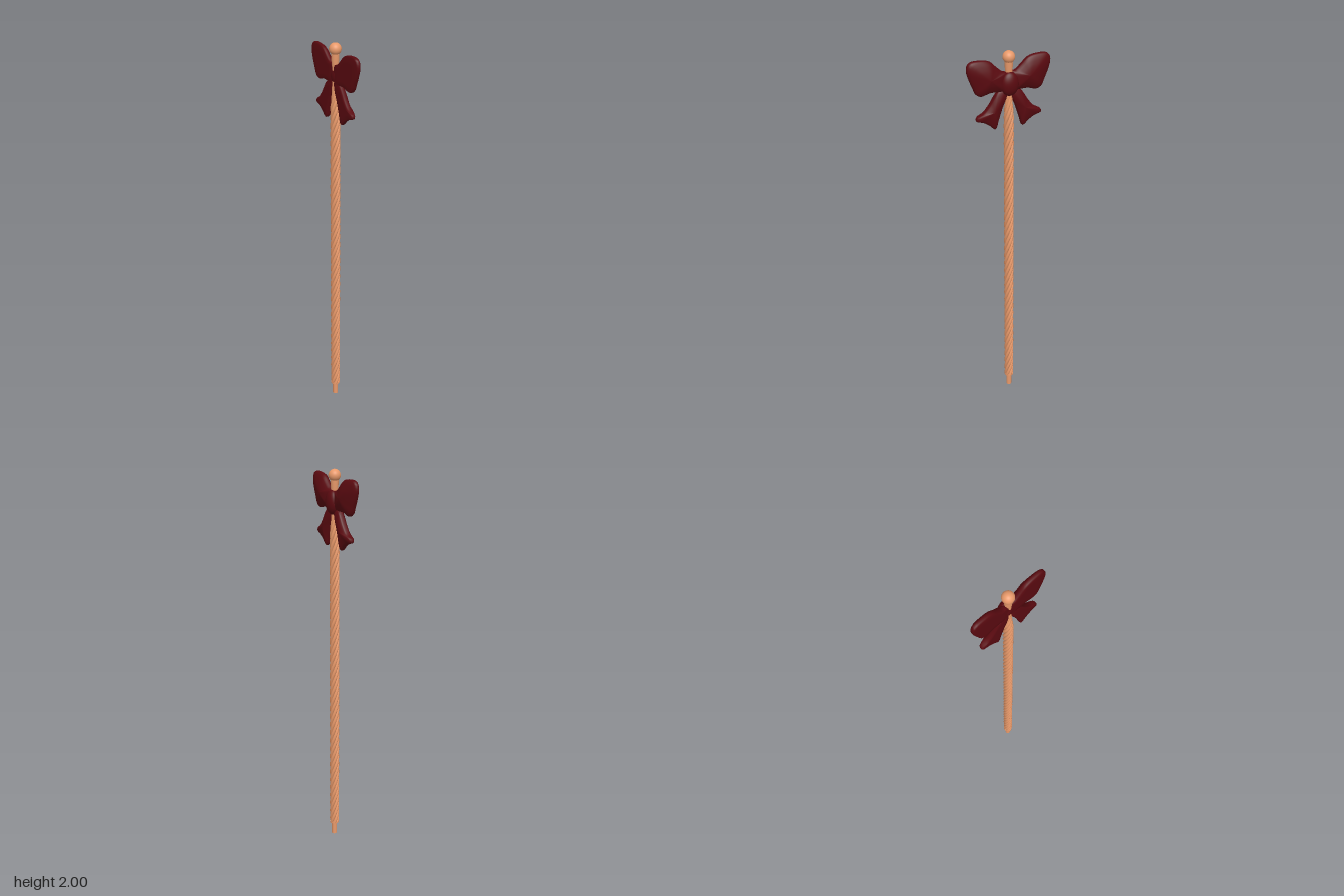
import * as THREE from 'three';

const AXIS_X = -0.008; // the stick stands slightly off the bow's centre plane

// Rope strand: a helix that narrows under the bow
class Strand extends THREE.Curve {
  constructor(phase) {
    super();
    this.phase = phase;
  }
  getPoint(t, target = new THREE.Vector3()) {
    const y = 0.068 + t * 1.742;
    const a = this.phase + (y / 0.28) * Math.PI * 2;
    const r = 0.0165 - 0.009 * THREE.MathUtils.smoothstep(y, 1.65, 1.8);
    return target.set(Math.sin(a) * r, y, Math.cos(a) * r);
  }
}

// Cushion with a flat back: outline of [z, y] points, counter-clockwise from +x
function cushion(points, centre, peak, mirrored) {
  let pts = points.map(([z, y]) => new THREE.Vector3(mirrored ? -z : z, y, 0));
  if (mirrored) pts.reverse();
  const n = 56;
  const outline = new THREE.CatmullRomCurve3(pts, true, 'centripetal').getSpacedPoints(n).slice(0, n);
  const cz = mirrored ? -centre[0] : centre[0], cy = centre[1];
  const rings = [[0, -0.022], [0.6, -0.022], [0.95, -0.022], [1, -0.016], [1, -0.004], [0.95, 0.002]];
  for (const s of [0.85, 0.7, 0.55, 0.4, 0.2, 0]) {
    rings.push([s, 0.002 + (peak - 0.002) * Math.cos(s * Math.PI / 2)]);
  }
  const pos = [], idx = [];
  rings.forEach(([s, x], k) => {
    for (let i = 0; i < n; i++) {
      pos.push(x, cy + (outline[i].y - cy) * s, cz + (outline[i].x - cz) * s);
      if (k === rings.length - 1) continue;
      const a = k * n + i, b = k * n + (i + 1) % n;
      idx.push(a, b, b + n, a, b + n, a + n);
    }
  });
  const g = new THREE.BufferGeometry();
  g.setAttribute('position', new THREE.Float32BufferAttribute(pos, 3));
  g.setIndex(idx);
  g.computeVertexNormals();
  return g;
}

export function createModel() {
  const model = new THREE.Group();
  const wood = new THREE.MeshStandardMaterial({ color: 0xe8996a });
  const ribbon = new THREE.MeshStandardMaterial({ color: 0x5a0a10 });
  const add = (parent, name, geometry, material) => {
    const mesh = new THREE.Mesh(geometry, material);
    mesh.name = name;
    parent.add(mesh);
    return mesh;
  };

  // Stick: core rod, flared neck and ball
  const stick = new THREE.Group();
  stick.name = 'stick';
  stick.position.x = AXIS_X;
  model.add(stick);
  add(stick, 'rod', new THREE.CylinderGeometry(0.014, 0.014, 1.88, 24), wood).position.y = 0.94;
  const neck = [[0.014, 1.86], [0.016, 1.89], [0.019, 1.92], [0.02, 1.955]].map(p => new THREE.Vector2(...p));
  add(stick, 'neck', new THREE.LatheGeometry(neck, 24), wood);
  add(stick, 'ball', new THREE.SphereGeometry(0.03, 32, 20), wood).position.y = 1.97;

  // Twisted rope around the rod
  const rope = new THREE.Group();
  rope.name = 'rope';
  stick.add(rope);
  for (let i = 0; i < 6; i++) {
    add(rope, 'strand', new THREE.TubeGeometry(new Strand(i * Math.PI / 3), 220, 0.0085, 10), wood);
  }
  add(rope, 'ropeEnd', new THREE.CylinderGeometry(0.023, 0.023, 0.008, 24), wood).position.y = 0.07;

  // Bow: a loop and a tail on each side of the knot
  const loop = [
    [0.01, 1.895], [0.03, 1.9], [0.06, 1.925], [0.095, 1.957], [0.14, 1.968], [0.198, 1.962], [0.21, 1.93],
    [0.198, 1.88], [0.182, 1.84], [0.165, 1.803], [0.14, 1.792], [0.095, 1.803], [0.05, 1.802], [0.01, 1.8],
  ];
  const tail = [
    [0.01, 1.82], [0.055, 1.805], [0.075, 1.78], [0.1, 1.74], [0.13, 1.705], [0.165, 1.683], [0.166, 1.668],
    [0.13, 1.655], [0.1, 1.636], [0.07, 1.612], [0.053, 1.66], [0.032, 1.724], [0.01, 1.78],
  ];
  const bow = new THREE.Group();
  bow.name = 'bow';
  model.add(bow);
  for (const mirrored of [false, true]) {
    const side = mirrored ? 'back' : 'front';
    add(bow, side + 'Loop', cushion(loop, [0.1, 1.875], 0.027, mirrored), ribbon);
    add(bow, side + 'Tail', cushion(tail, [0.078, 1.71], 0.019, mirrored), ribbon);
  }
  const knot = add(bow, 'knot', new THREE.SphereGeometry(1, 32, 20), ribbon);
  knot.scale.set(0.03, 0.06, 0.045);
  knot.position.set(0.005, 1.84, 0);

  return model;
}
